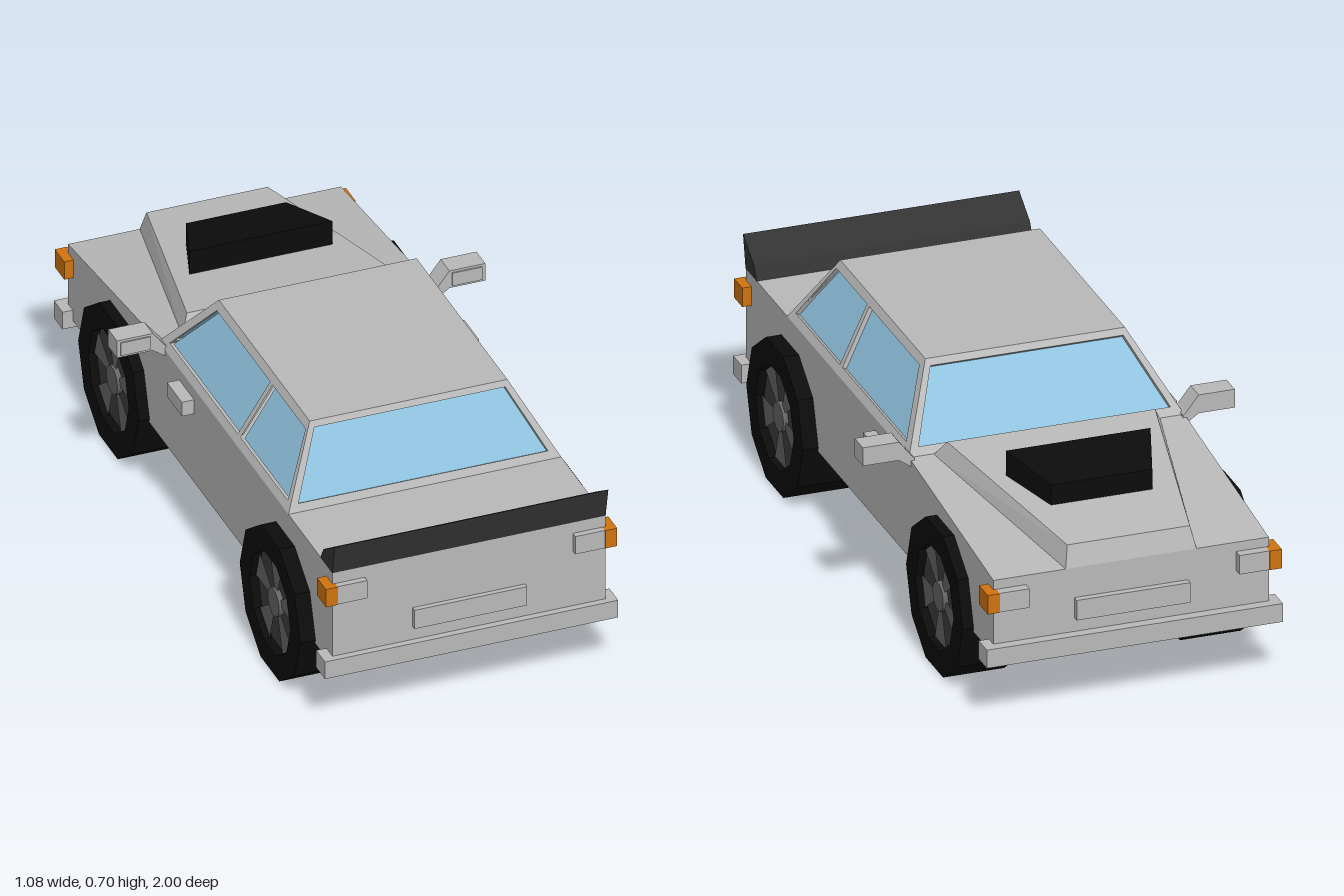
import * as THREE from 'three';
import { ConvexGeometry } from 'three/addons/geometries/ConvexGeometry.js';

const paint = (name, color) => {
  const m = new THREE.MeshStandardMaterial({ color });
  m.name = name;
  return m;
};

export function createModel() {
  const car = new THREE.Group();
  car.name = 'car';
  const silver = paint('silver paint', 0xb9b9b9);
  const black = paint('black rubber', 0x0c0c0c);
  const charcoal = paint('charcoal spoiler', 0x333333);
  const rimDark = paint('dark rim', 0x3c3c3c);
  const rimLight = paint('spoke grey', 0x666666);
  const orange = paint('orange lamp', 0xd07410);
  const glass = paint('window glass', 0x90c3df);
  glass.side = THREE.DoubleSide;

  const add = (name, geometry, material, parent = car) => {
    const mesh = new THREE.Mesh(geometry, material);
    mesh.name = name;
    parent.add(mesh);
    return mesh;
  };
  // box given by its limits
  const box = (name, material, x0, x1, y0, y1, z0, z1) =>
    add(name, new THREE.BoxGeometry(Math.abs(x1 - x0), y1 - y0, Math.abs(z1 - z0)), material)
      .position.set((x0 + x1) / 2, (y0 + y1) / 2, (z0 + z1) / 2);
  const shapeOf = pts => new THREE.Shape(pts.map(p => new THREE.Vector2(...p)));
  // side profile of [z, y] points, extruded across the car
  const sideProfile = (name, material, pts, width) => {
    const g = new THREE.ExtrudeGeometry(shapeOf(pts.map(([z, y]) => [-z, y])), { depth: width, bevelEnabled: false });
    g.translate(0, 0, -width / 2).rotateY(Math.PI / 2);
    add(name, g, material);
  };
  // convex solid from [x, y, z] points mirrored in x
  const hull = (name, material, pts) =>
    add(name, new ConvexGeometry(pts.flatMap(([x, y, z]) =>
      [new THREE.Vector3(x, y, z), new THREE.Vector3(-x, y, z)])), material);

  // lower body, bonnet bulge, scoop and spoiler
  sideProfile('body', silver, [[0.98, 0.2], [0.98, 0.5], [-0.305, 0.5], [-0.97, 0.425], [-0.97, 0.2]], 0.8);
  hull('bonnetBulge', silver, [
    [0.33, 0.497, -0.305], [0.19, 0.425, -0.97], [0.302, 0.547, -0.34], [0.178, 0.487, -0.95]]);
  hull('bonnetScoop', black, [
    [0.21, 0.6, -0.553], [0.147, 0.568, -0.738], [0.21, 0.52, -0.553], [0.147, 0.5, -0.738]]);
  sideProfile('spoiler', charcoal, [[1, 0.595], [0.915, 0.54], [0.893, 0.5], [0.98, 0.5]], 0.802);

  // cabin wall: sloping panel with window holes and recessed glass
  // points are [distance along u, height fraction along v]
  const wall = (name, foot, u, v, outline, windows) => {
    const len = v.length();
    const place = new THREE.Matrix4().makeBasis(u, v.clone().normalize(),
      new THREE.Vector3().crossVectors(u, v).normalize()).setPosition(foot);
    const scaled = pts => pts.map(([a, t]) => [a, t * len]);
    const panel = shapeOf(scaled(outline));
    for (const w of windows) {
      const pane = shapeOf(scaled(w));
      panel.holes.push(new THREE.Path(pane.getPoints()));
      add(name + 'Glass', new THREE.ShapeGeometry(pane).translate(0, 0, -0.013).applyMatrix4(place), glass);
    }
    const g = new THREE.ExtrudeGeometry(panel, { depth: 0.018, bevelEnabled: false });
    add(name + 'Frame', g.translate(0, 0, -0.018).applyMatrix4(place), silver);
  };
  const V = (x, y, z) => new THREE.Vector3(x, y, z);
  const endOutline = [[-0.4, 0], [0.4, 0], [0.29, 1], [-0.29, 1]];
  const endWindow = [[-0.366, 0.1], [0.366, 0.1], [0.28, 0.92], [-0.28, 0.92]];
  wall('rear', V(0, 0.5, 0.655), V(1, 0, 0), V(0, 0.205, -0.12), endOutline, [endWindow]);
  wall('windscreen', V(0, 0.5, -0.305), V(-1, 0, 0), V(0, 0.205, 0.17), endOutline, [endWindow]);
  for (const s of [1, -1]) {
    const flip = pts => pts.map(([z, t]) => [-s * z, t]);
    wall('side', V(s * 0.4, 0.5, 0), V(0, 0, -s), V(-s * 0.11, 0.205, 0),
      flip([[0.655, 0], [-0.305, 0], [-0.135, 1], [0.535, 1]]),
      [flip([[0.62, 0.11], [0.272, 0.11], [0.292, 0.89], [0.535, 0.89]]),
        flip([[0.252, 0.11], [-0.25, 0.11], [-0.12, 0.89], [0.274, 0.89]])]);
  }
  box('roof', silver, -0.29, 0.29, 0.69, 0.705, -0.135, 0.535);

  // bumpers and number plates
  box('rearBumper', silver, -0.43, 0.43, 0.178, 0.233, 0.935, 1);
  box('frontBumper', silver, -0.43, 0.43, 0.178, 0.233, -1, -0.935);
  box('rearPlate', silver, -0.165, 0.165, 0.275, 0.335, 0.97, 0.995);
  box('frontPlate', silver, -0.165, 0.165, 0.275, 0.335, -0.99, -0.96);

  for (const s of [1, -1]) {
    // lamps and door handles
    box('rearIndicator', orange, s * 0.392, s * 0.427, 0.408, 0.465, 0.935, 1);
    box('tailLamp', silver, s * 0.305, s * 0.392, 0.408, 0.465, 0.95, 0.998);
    box('frontIndicator', orange, s * 0.392, s * 0.427, 0.34, 0.397, -1, -0.93);
    box('headLamp', silver, s * 0.305, s * 0.392, 0.34, 0.397, -0.998, -0.95);
    box('doorHandle', silver, s * 0.39, s * 0.436, 0.42, 0.465, -0.15, -0.04);

    // wing mirror on a tapered arm, with its mirror plate facing back
    const mirror = shapeOf([[0.39, 0.505], [0.4, 0.515], [0.435, 0.56], [0.54, 0.56],
      [0.54, 0.505], [0.435, 0.505], [0.4, 0.48], [0.39, 0.48]].map(([x, y]) => [s * x, y]));
    add('wingMirror', new THREE.ExtrudeGeometry(mirror, { depth: 0.065, bevelEnabled: false })
      .translate(0, 0, -0.322), silver);
    box('mirrorPlate', silver, s * 0.443, s * 0.53, 0.512, 0.553, -0.257, -0.253);

    // ten-sided wheels
    for (const [name, z, outer] of [['rearWheel', 0.632, 0.445], ['frontWheel', -0.592, 0.432]]) {
      const wheel = new THREE.Group();
      wheel.name = name;
      const half = (outer - 0.255) / 2;
      const profile = [[0, -half], [0.223, -half], [0.223, half], [0.15, half], [0.15, half - 0.035]];
      const tyre = new THREE.LatheGeometry(profile.map(p => new THREE.Vector2(...p)), 10).toNonIndexed();
      tyre.computeVertexNormals();
      add('tyre', tyre, black, wheel);
      add('rim', new THREE.CylinderGeometry(0.15, 0.15, 0.02, 10), rimDark, wheel).position.y = half - 0.035;
      for (let i = 0; i < 5; i++) {
        add('spoke', new THREE.CylinderGeometry(0.148, 0.148, 0.008, 1, 1, false, (i * 2 * Math.PI) / 5, Math.PI / 5),
          rimLight, wheel).position.y = half - 0.022;
      }
      add('hub', new THREE.CylinderGeometry(0.043, 0.043, 0.03, 10), rimLight, wheel).position.y = half - 0.025;
      wheel.rotation.z = -s * Math.PI / 2;
      wheel.position.set(s * (outer + 0.255) / 2, 0.2125, z);
      car.add(wheel);
    }
  }
  return car;
}
